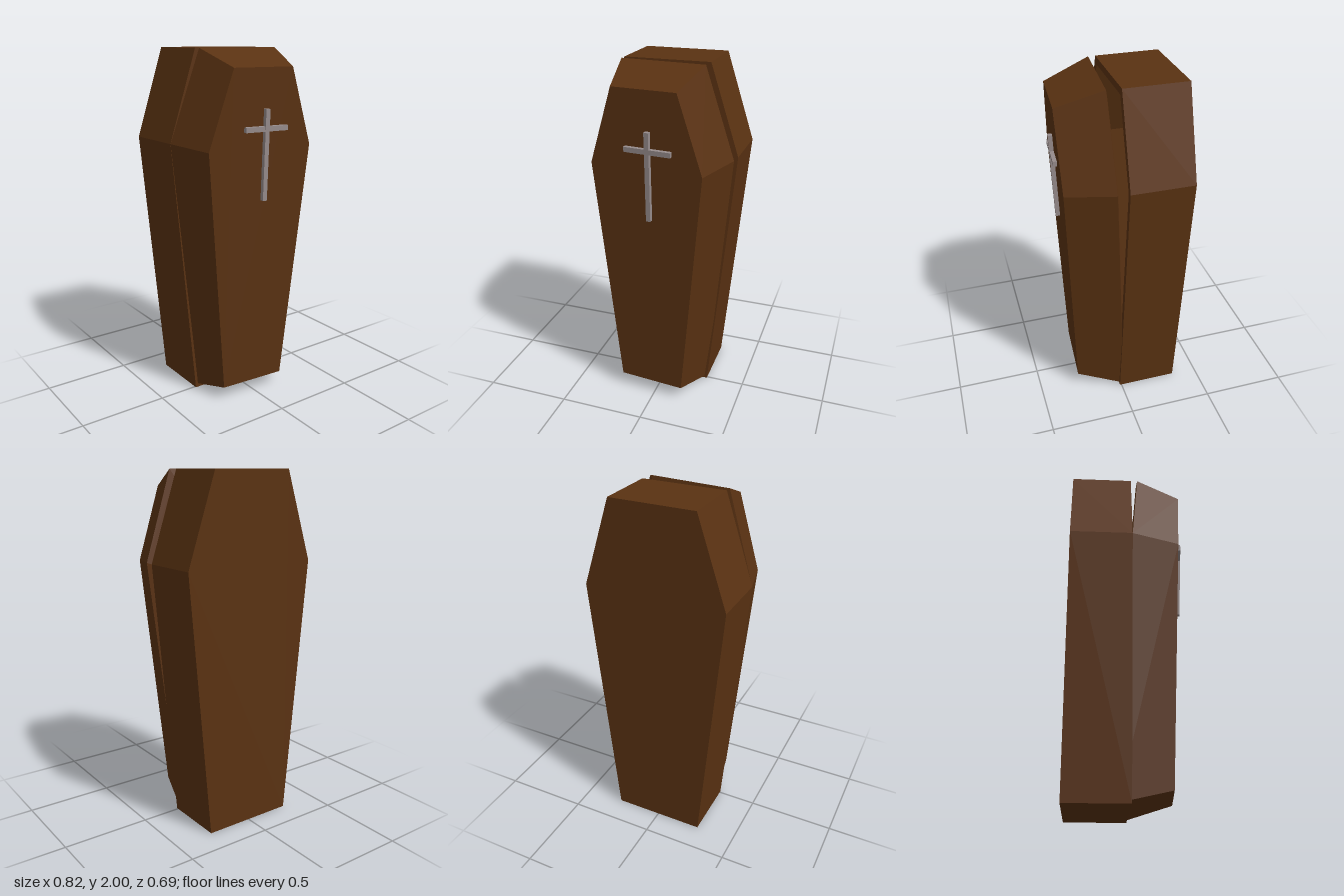
import * as THREE from 'three';

// Six-sided outline, counter-clockwise from the front; z(x, y) sets its plane
function hexRing([topW, topY, midW, midY, lowW, lowY], shift, z) {
  return [
    [-lowW, lowY], [lowW, lowY], [midW, midY],
    [topW, topY], [-topW, topY], [-midW, midY],
  ].map(([x, y]) => [x + shift, y, z(x + shift, y)]);
}

// Closed hollow tray: outer base, outer rim, inner rim, inner base
function trayGeometry(rings, flip) {
  const pos = [];
  const tri = (a, b, c) => pos.push(...a, ...(flip ? c : b), ...(flip ? b : c));
  const n = rings[0].length;
  for (let r = 0; r < rings.length - 1; r++) {
    const A = rings[r], B = rings[r + 1];
    for (let i = 0; i < n; i++) {
      const j = (i + 1) % n;
      tri(A[i], A[j], B[j]);
      tri(A[i], B[j], B[i]);
    }
  }
  const first = rings[0], last = rings[rings.length - 1];
  for (let i = 1; i < n - 1; i++) {
    tri(first[0], first[i + 1], first[i]);
    tri(last[0], last[i], last[i + 1]);
  }
  const geo = new THREE.BufferGeometry();
  geo.setAttribute('position', new THREE.Float32BufferAttribute(pos, 3));
  geo.computeVertexNormals();
  return geo;
}

export function createModel() {
  const model = new THREE.Group();
  model.name = 'coffin';
  const wood = new THREE.MeshStandardMaterial({ color: 0x5a3212 });
  wood.name = 'dark brown wood';
  const metal = new THREE.MeshStandardMaterial({ color: 0x978c8c });
  metal.name = 'grey metal';

  const add = (parent, geo, mat, name) => {
    const mesh = new THREE.Mesh(geo, mat);
    mesh.name = name;
    parent.add(mesh);
    return mesh;
  };

  // Straight-sided hollow box
  const outer = [0.243, 2, 0.408, 1.5, 0.27, 0];
  const inner = [0.215, 1.96, 0.375, 1.49, 0.24, 0.04];
  add(model, trayGeometry([
    hexRing(outer, 0, () => -0.347),
    hexRing(outer, 0, () => 0.01),
    hexRing(inner, 0, () => 0.01),
    hexRing(inner, 0, () => -0.31),
  ], false), wood, 'box');

  // Hollow tapered lid, tipped ajar at the top and on its left side
  const rimZ = (x, y) => 0.0425 + 0.08 * x + 0.053 * (y - 1.5);
  const faceZ = (x, y) => 0.316 + 0.083 * x + 0.042 * (y - 1.7);
  add(model, trayGeometry([
    hexRing([0.182, 1.905, 0.32, 1.48, 0.195, 0.08], -0.02, faceZ),
    hexRing([0.24, 2, 0.404, 1.5, 0.265, 0.005], -0.003, rimZ),
    hexRing([0.215, 1.96, 0.375, 1.49, 0.238, 0.04], -0.003, (x, y) => rimZ(x, y) - 0.008),
    hexRing([0.15, 1.86, 0.29, 1.47, 0.17, 0.11], -0.02, (x, y) => faceZ(x, y) - 0.03),
  ], true), wood, 'lid');

  // Cross lying on the sloping lid face
  const cross = new THREE.Group();
  cross.name = 'cross';
  cross.position.set(0, 1.585, faceZ(0, 1.585) + 0.01);
  cross.rotation.set(0.042, -0.083, 0);
  model.add(cross);
  add(cross, new THREE.BoxGeometry(0.026, 0.5, 0.028), metal, 'crossUpright')
    .position.y = -0.145;
  add(cross, new THREE.BoxGeometry(0.265, 0.028, 0.024), metal, 'crossBar');

  return model;
}
